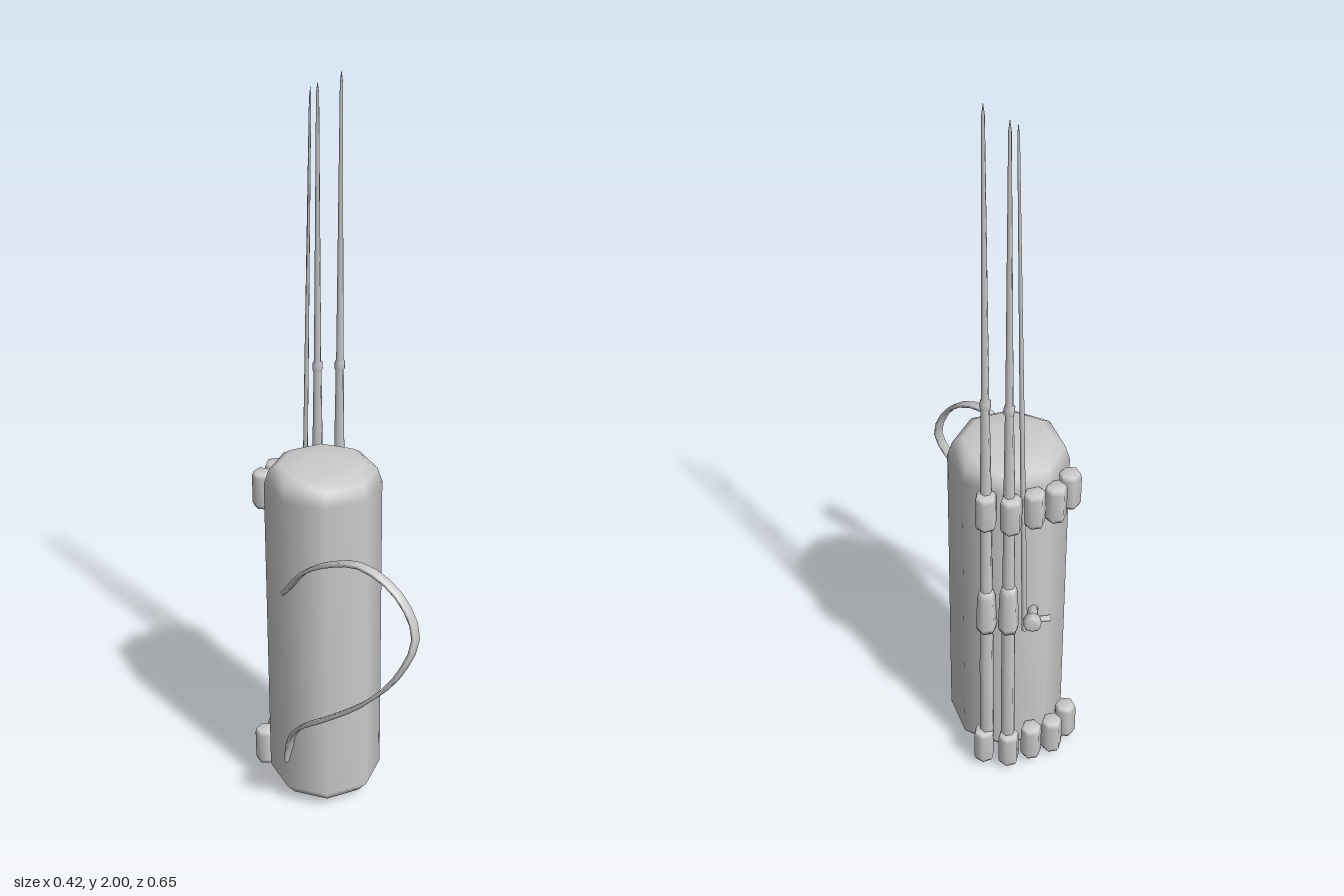
import * as THREE from 'three';

const mat = new THREE.MeshStandardMaterial({ color: 0xcccccc });
const matDouble = new THREE.MeshStandardMaterial({ color: 0xcccccc, side: THREE.DoubleSide });
const V = (x, y, z) => new THREE.Vector3(x, y, z);
const UP = V(0, 1, 0);

function add(parent, name, geometry, material = mat) {
  const mesh = new THREE.Mesh(geometry, material);
  mesh.name = name;
  parent.add(mesh);
  return mesh;
}

// Turned shape from [radius, y] pairs
function turned(profile, sides) {
  return new THREE.LatheGeometry(profile.map(([r, y]) => new THREE.Vector2(r, y)), sides);
}

// Turned shape laid along the line from a to b; profile is [radius, distance 0..1]
function turnedBetween(parent, name, a, b, profile, sides) {
  const dir = b.clone().sub(a);
  const len = dir.length();
  const mesh = add(parent, name, turned(profile.map(([r, t]) => [r, t * len]), sides));
  mesh.position.copy(a);
  mesh.quaternion.setFromUnitVectors(UP, dir.normalize());
  return mesh;
}

// Flat strap swept along a curve, its width kept close to the x direction
function strapGeometry(points, width, thick, steps) {
  const curve = new THREE.CatmullRomCurve3(points);
  const pos = [], idx = [];
  for (let i = 0; i <= steps; i++) {
    const p = curve.getPointAt(i / steps);
    const t = curve.getTangentAt(i / steps);
    const side = V(1, 0, 0).addScaledVector(t, -t.x).normalize();
    const normal = t.clone().cross(side);
    for (const [u, v] of [[-1, -1], [1, -1], [1, 1], [-1, 1]]) {
      const q = p.clone().addScaledVector(side, u * width / 2).addScaledVector(normal, v * thick / 2);
      pos.push(q.x, q.y, q.z);
    }
    if (i === steps) continue;
    for (let k = 0; k < 4; k++) {
      const a = i * 4 + k, b = i * 4 + (k + 1) % 4;
      idx.push(a, b, b + 4, a, b + 4, a + 4);
    }
  }
  const g = new THREE.BufferGeometry();
  g.setAttribute('position', new THREE.Float32BufferAttribute(pos, 3));
  g.setIndex(idx);
  g.computeVertexNormals();
  return g;
}

export function createModel() {
  const model = new THREE.Group();
  model.name = 'rodCase';

  // Eight-sided case with bevelled ends
  const body = add(model, 'caseBody', turned([
    [0, 0.005], [0.07, 0.012], [0.128, 0.027], [0.155, 0.06],
    [0.155, 0.955], [0.142, 0.995], [0.115, 1.012], [0.055, 1.018], [0, 1.018],
  ], 8));
  body.position.set(0.029, 0, -0.117);

  // Two rows of sockets wrapped around the back
  const sockets = [
    [0.177, -0.196, 1.25], [0.14, -0.248, 0.1], [0.08, -0.268, 0],
    [0.025, -0.287, 0], [-0.038, -0.272, 0.7],
  ];
  const rows = [['lowerSocket', 0.028, 0.107, 0.012], ['upperSocket', 0.858, 0.102, 0]];
  for (const [name, y, h, out] of rows) {
    for (const [x, z, turn] of sockets) {
      const socket = add(model, name, turned([
        [0, 0], [0.024, 0], [0.029, 0.012], [0.029, h - 0.012], [0.025, h], [0, h],
      ], 6));
      const away = V(x - 0.029, 0, z + 0.117).normalize();
      socket.position.set(x + away.x * out, y, z + away.z * out);
      socket.rotation.y = turn;
    }
  }

  // Two tapered rods with grips and a ferrule ring
  const rods = [
    { base: V(0.178, 0.08, -0.203), mid: V(0.17, 1.0, -0.188), tip: V(0.16, 2.0, -0.168), grip: [0.505, 0.64] },
    { base: V(0.144, 0.08, -0.25), mid: V(0.136, 1.0, -0.236), tip: V(0.128, 1.97, -0.217), grip: [0.515, 0.665] },
  ];
  for (const { base, mid, tip, grip } of rods) {
    const rod = new THREE.Group();
    rod.name = 'rod';
    model.add(rod);
    const at = y => base.clone().lerp(mid, (y - base.y) / (mid.y - base.y));
    turnedBetween(rod, 'rodHandle', base, mid,
      [[0, 0], [0.019, 0], [0.019, 0.3], [0.016, 0.7], [0.014, 1]], 6);
    turnedBetween(rod, 'rodTip', mid, tip,
      [[0.014, 0], [0.011, 0.21], [0.014, 0.215], [0.014, 0.235], [0.01, 0.24], [0.004, 0.97], [0, 1]], 6);
    turnedBetween(rod, 'rodGrip', at(grip[0]), at(grip[1]),
      [[0, 0], [0.025, 0], [0.028, 0.1], [0.024, 0.85], [0.018, 1], [0, 1]], 6);
  }

  // Thin third rod
  turnedBetween(model, 'thinRod', V(0.1, 0.5, -0.262), V(0.114, 1.96, -0.228),
    [[0, 0], [0.008, 0], [0.006, 0.5], [0.003, 0.98], [0, 1]], 5);

  // Crank on the back: stem, crossbar and knob
  turnedBetween(model, 'crankStem', V(0.065, 0.55, -0.255), V(0.112, 0.55, -0.303),
    [[0, 0], [0.014, 0], [0.014, 0.55], [0.023, 0.6], [0.023, 0.95], [0.016, 1], [0, 1]], 8);
  turnedBetween(model, 'crankBar', V(0.055, 0.55, -0.312), V(0.105, 0.55, -0.28),
    [[0, 0], [0.009, 0], [0.009, 1], [0, 1]], 6);

  // Carrying strap on the right side
  add(model, 'strap', strapGeometry([
    V(-0.125, 0.69, -0.115), V(-0.135, 0.79, -0.03), V(-0.132, 0.845, 0.06),
    V(-0.128, 0.875, 0.16), V(-0.112, 0.83, 0.26), V(-0.1, 0.72, 0.312),
    V(-0.135, 0.61, 0.285), V(-0.17, 0.51, 0.205), V(-0.19, 0.43, 0.105),
    V(-0.172, 0.33, -0.02), V(-0.135, 0.23, -0.095), V(-0.122, 0.15, -0.117),
  ], 0.022, 0.01, 32), matDouble);

  return model;
}
